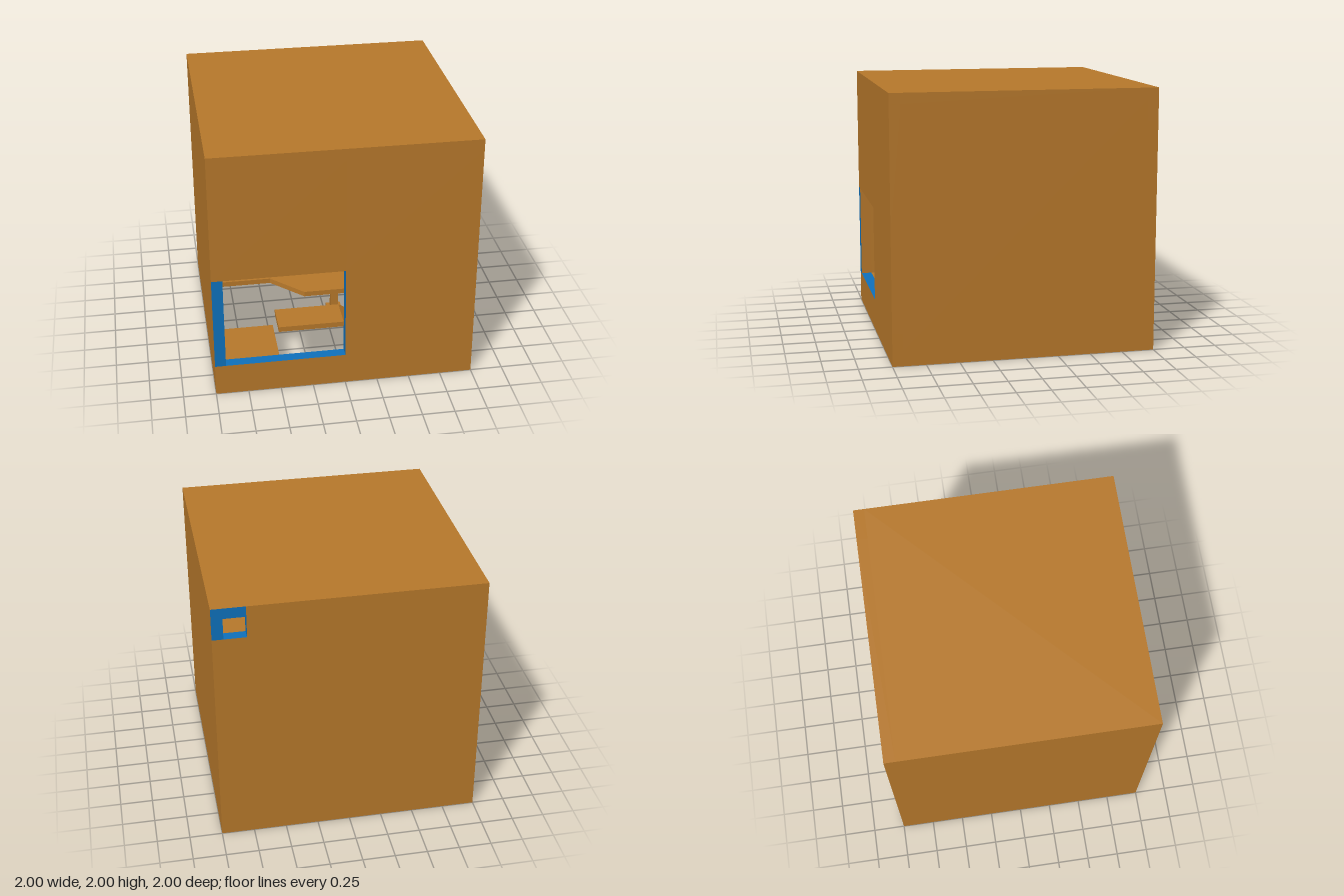
import * as THREE from 'three';

const ORANGE = new THREE.MeshStandardMaterial({ color: 0xb8792b });
const BLUE = new THREE.MeshStandardMaterial({ color: 0x0f72bd });
const U = 1 / 24;            // building module
const W = 1 - 2 * U;         // inner face of the walls
const G = 0.12;              // depth of the groove under the walls
const FACES = ['+x', '-x', '+y', '-y', '+z', '-z'];

// Box given by its limits; the listed faces are blue.
function box(parent, name, [x0, x1], [y0, y1], [z0, z1], blue = []) {
  const geo = new THREE.BoxGeometry(x1 - x0, y1 - y0, z1 - z0);
  geo.translate((x0 + x1) / 2, (y0 + y1) / 2, (z0 + z1) / 2);
  const mat = blue.length ? FACES.map(f => (blue.includes(f) ? BLUE : ORANGE)) : ORANGE;
  const mesh = new THREE.Mesh(geo, mat);
  mesh.name = name;
  parent.add(mesh);
  return mesh;
}

// Slab one module thick, its top at height y.
const slab = (parent, name, xs, y, zs) => box(parent, name, xs, [y - U, y], zs);

// Slab sheared so that its top runs from ya to yb along the axis.
function ramp(parent, name, xs, zs, ya, yb, axis) {
  const mesh = slab(parent, name, xs, ya, zs);
  const p = mesh.geometry.attributes.position;
  const [a, b] = axis === 'x' ? xs : zs;
  for (let i = 0; i < p.count; i++) {
    const v = axis === 'x' ? p.getX(i) : p.getZ(i);
    p.setY(i, p.getY(i) + ((v - a) / (b - a)) * (yb - ya));
  }
  mesh.geometry = mesh.geometry.toNonIndexed();
  mesh.geometry.computeVertexNormals();
}

export function createModel() {
  const model = new THREE.Group();
  model.name = 'cubeHouse';
  const shell = new THREE.Group();
  shell.name = 'shell';
  const inside = new THREE.Group();
  inside.name = 'interior';
  model.add(shell, inside);

  // roof, with the cut edge over the rear opening
  box(shell, 'roof', [-1, 1], [W, 2].map((v, i) => (i ? 2 : 2 - 2 * U)), [-W, 1]);
  box(shell, 'roofRearEdge', [-1, 0.75], [2 - 2 * U, 2], [-1, -W]);
  box(shell, 'roofCutEdge', [0.75, 1], [2 - 2 * U, 2], [-1, -W], ['-z']);

  // side walls
  const top = 2 - 2 * U;
  box(shell, 'leftWall', [W, 1], [G, top], [-W, W]);
  box(shell, 'rightWall', [-1, -W], [G, top], [-W, W]);

  // front wall around the doorway
  box(shell, 'frontSill', [-1, 0], [G, 0.25], [W, 1], ['+y']);
  box(shell, 'frontLintel', [-1, 0], [1, top], [W, 1], ['-y']);
  box(shell, 'doorJamb', [-1, -W], [0.25, 1], [W, 1], ['+z']);
  box(shell, 'frontWallLow', [0, 1], [G, 0.25], [W, 1]);
  box(shell, 'frontWallMiddle', [0, 1], [0.25, 1], [W, 1], ['-x']);
  box(shell, 'frontWallHigh', [0, 1], [1, top], [W, 1]);

  // back wall around the upper corner opening
  box(shell, 'backWall', [-1, 0.75], [G, 1.75], [-1, -W]);
  box(shell, 'backWallTop', [-1, 0.75], [1.75, top], [-1, -W], ['+x']);
  box(shell, 'backSill', [0.75, 1], [G, 1.75], [-1, -W], ['+y']);
  box(shell, 'backJamb', [W, 1], [1.75, top], [-1, -W], ['-z']);

  // double skin around the open groove under the walls
  const t = 0.015;
  for (const s of [-1, 1]) {
    for (const r of [1, W + t]) {
      const span = [s * r, s * (r - t)].sort((a, b) => a - b);
      box(shell, 'footSkinX', span, [0, G], [-r, r]);
      box(shell, 'footSkinZ', [-r + t, r - t], [0, G], span);
    }
  }
  // ribs in the groove below the doorway
  for (let i = 0; i < 4; i++) {
    const x = -0.25 * i;
    box(shell, 'footRib', [x - 0.01, x + 0.01], [0, G], [W + t, 1 - t]);
  }

  // entrance step and the bridge with its way down
  slab(inside, 'entranceStep', [-W, -0.5], 0.25, [0.5, W]);
  slab(inside, 'bridge', [-0.5, 0], 0.5, [16 * U, W]);
  ramp(inside, 'bridgeRamp', [0, 10 * U], [16 * U, W], 0.5, 0.25, 'x');
  ramp(inside, 'crossRamp', [10 * U, 16 * U], [0.44, 16 * U], 0.42, 0.27, 'z');

  // main floor with one slanted corner
  const floor = new THREE.Shape([
    [-W, 0.5], [-W, 0], [-11 * U, 0], [-5 * U, -0.25], [7 * U, -0.25], [7 * U, 0.5],
  ].map(([x, y]) => new THREE.Vector2(x, y)));
  const floorGeo = new THREE.ExtrudeGeometry(floor, { depth: U, bevelEnabled: false });
  floorGeo.rotateX(-Math.PI / 2);
  floorGeo.translate(0, 8 * U, 0);
  const mainFloor = new THREE.Mesh(floorGeo, ORANGE);
  mainFloor.name = 'mainFloor';
  inside.add(mainFloor);
  ramp(inside, 'floorRamp', [7 * U, 17 * U], [-0.5, 0.25], 0.375, 0.625, 'x');
  slab(inside, 'rampLanding', [17 * U, W], 0.625, [-0.5, 0.25]);

  // raised block with an overhanging top
  box(inside, 'raisedBlock', [-W, -0.5], [11 * U, 17 * U], [-0.5, 0]);
  slab(inside, 'blockTop', [-W, -0.25], 0.75, [-0.5, 0]);

  // ledge behind the upper opening
  slab(inside, 'upperLedge', [0.5, W], 1.75, [-W, -0.5]);

  // posts
  box(inside, 'centrePost', [0.05, 0.11], [U, 8 * U], [-0.05, 0.01], ['+x']);
  box(inside, 'centrePostFoot', [0.02, 0.14], [0, U], [-0.08, 0.04]);
  box(inside, 'cornerPost', [0.72, 0.78], [0, 1.71], [-0.81, -0.75], ['+x']);
  return model;
}
